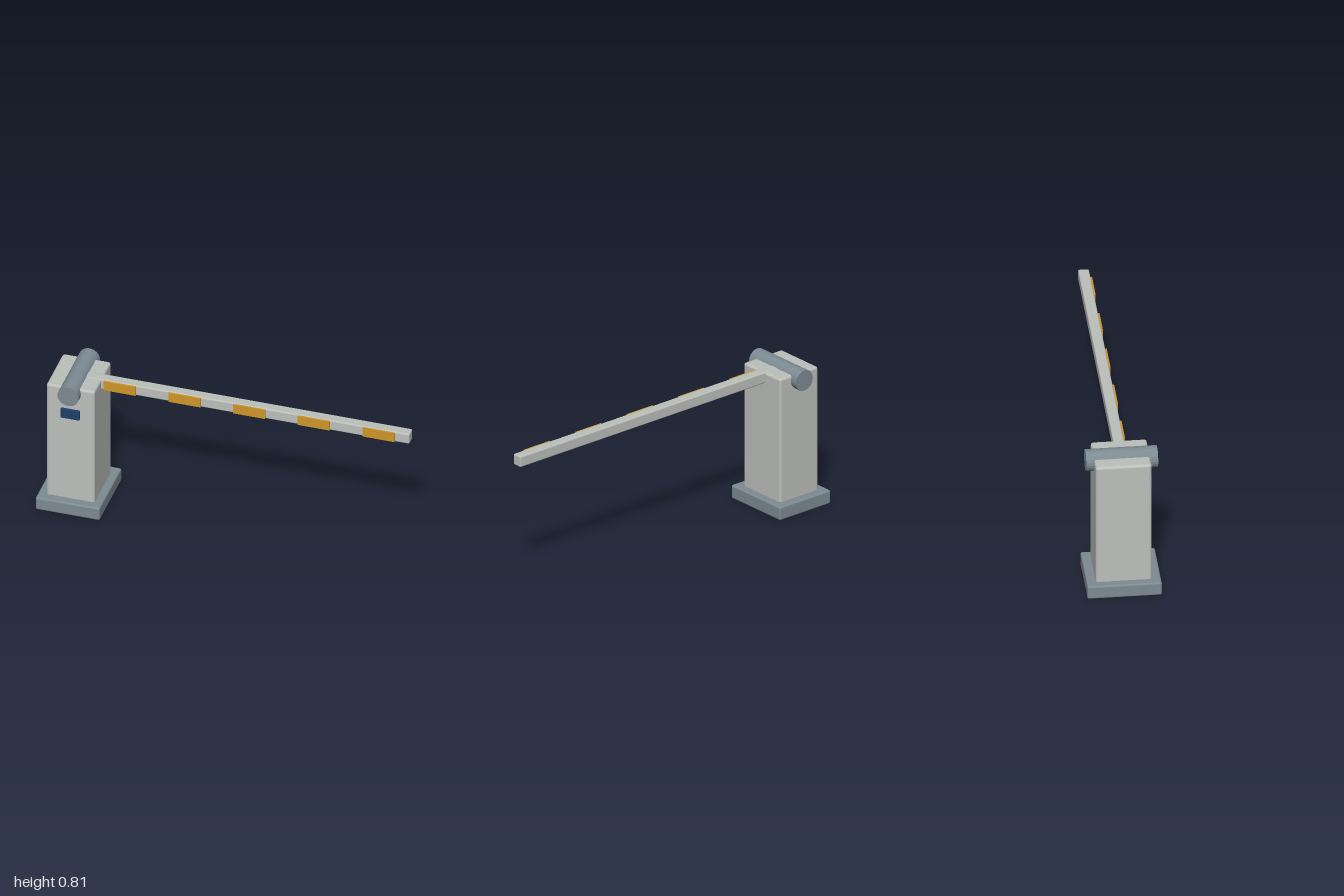
import * as THREE from 'three';
import { RoundedBoxGeometry } from 'three/addons/geometries/RoundedBoxGeometry.js';

function paint(name, color) {
  const m = new THREE.MeshStandardMaterial({ color });
  m.name = name;
  return m;
}

export function createModel() {
  const group = new THREE.Group();
  group.name = 'barrierGate';

  const lightGrey = paint('light grey', 0xbcc0bb);
  const slate = paint('slate grey', 0x7d8b93);
  const amber = paint('amber', 0xcf962a);
  const navy = paint('navy', 0x1f3f6c);

  const add = (name, geometry, material, x, y, z) => {
    const mesh = new THREE.Mesh(geometry, material);
    mesh.name = name;
    mesh.position.set(x, y, z);
    group.add(mesh);
    return mesh;
  };
  const rounded = (w, h, d, r) => new RoundedBoxGeometry(w, h, d, 2, r);

  const postX = -0.823;
  const armY = 0.752;

  // Plinth and cabinet
  add('base', rounded(0.352, 0.077, 0.393, 0.01), slate, -0.824, 0.0385, 0);
  add('cabinet', rounded(0.265, 0.74, 0.296, 0.014), lightGrey, postX, 0.411, 0);

  // Pivot drum, faceted, lying front to back
  const drum = new THREE.CylinderGeometry(0.058, 0.058, 0.379, 24).toNonIndexed();
  drum.computeVertexNormals();
  add('pivotDrum', drum, slate, postX, armY, 0).rotation.x = Math.PI / 2;

  // Boom arm running out from the pivot
  const armStart = -0.8;
  const armEnd = 1;
  add('boomArm', rounded(armEnd - armStart, 0.062, 0.058, 0.008), lightGrey,
    (armStart + armEnd) / 2, armY, 0);

  // Warning stripes on the front of the arm
  for (let i = 0; i < 5; i++) {
    add('warningStripe' + (i + 1), new THREE.BoxGeometry(0.176, 0.056, 0.009), amber,
      -0.587 + i * 0.355, armY, 0.0325);
  }

  // Control panel on the front of the cabinet
  add('controlPanel', rounded(0.104, 0.06, 0.018, 0.004), navy, postX, 0.618, 0.149);

  return group;
}
